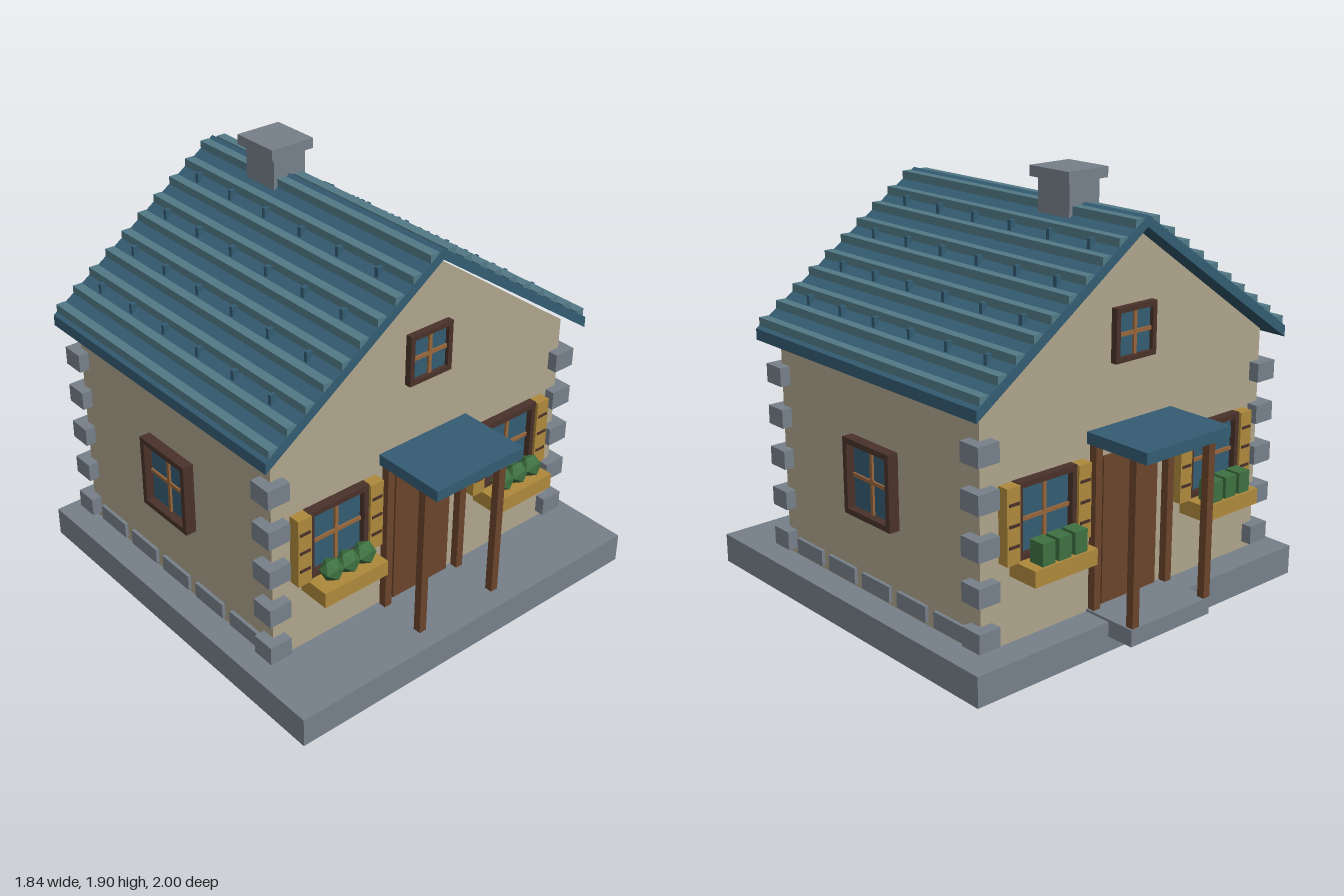
import * as THREE from 'three';

const mat = (name, color) => Object.assign(new THREE.MeshStandardMaterial({ color }), { name });
const M = {
  stone: mat('stone grey', 0x77818b),
  wall: mat('plaster beige', 0xb0a68e),
  roof: mat('roof blue', 0x355d74),
  batten: mat('batten teal', 0x527b87),
  wood: mat('door brown', 0x6b452b),
  frame: mat('dark frame brown', 0x4a322a),
  bar: mat('window bar brown', 0x99673c),
  ochre: mat('ochre paint', 0xb08a3c),
  green: mat('leaf green', 0x3f7242),
};

// Box given by its min and max on each axis
function box(parent, name, material, [x0, x1], [y0, y1], [z0, z1]) {
  const m = new THREE.Mesh(new THREE.BoxGeometry(x1 - x0, y1 - y0, z1 - z0), material);
  m.position.set((x0 + x1) / 2, (y0 + y1) / 2, (z0 + z1) / 2);
  m.name = name;
  parent.add(m);
  return m;
}

function extrude(parent, name, material, points, z0, z1) {
  const shape = new THREE.Shape(points.map(([x, y]) => new THREE.Vector2(x, y)));
  const g = new THREE.ExtrudeGeometry(shape, { depth: z1 - z0, bevelEnabled: false });
  g.translate(0, 0, z0);
  const m = new THREE.Mesh(g, material);
  m.name = name;
  parent.add(m);
}

// Window facing +z, centred on its own origin, standing out from z = 0
function makeWindow(name, w, h, border, depth) {
  const g = new THREE.Group();
  g.name = name;
  const x = w / 2, y = h / 2, ix = x - border, iy = y - border;
  for (const s of [-1, 1]) {
    box(g, 'frameSide', M.frame, [s * (x - border / 2) - border / 2, s * (x - border / 2) + border / 2], [-y, y], [-0.01, depth]);
    box(g, 'frameRail', M.frame, [-ix, ix], [s * (y - border / 2) - border / 2, s * (y - border / 2) + border / 2], [-0.01, depth]);
  }
  box(g, 'glass', M.roof, [-ix, ix], [-iy, iy], [0.004, 0.012]);
  box(g, 'uprightBar', M.bar, [-0.008, 0.008], [-iy, iy], [0.005, 0.022]);
  box(g, 'crossBar', M.bar, [-ix, ix], [-0.008, 0.008], [0.005, 0.021]);
  return g;
}

// Window with shutters, planter and plants
function makeShutteredWindow(roundPlants) {
  const g = new THREE.Group();
  g.name = 'shutteredWindow';
  const win = makeWindow('window', 0.31, 0.325, 0.025, 0.04);
  win.position.y = 0.65;
  g.add(win);
  for (const s of [-1, 1]) {
    const cx = s * 0.187;
    box(g, 'shutter', M.ochre, [cx - 0.034, cx + 0.034], [0.49, 0.81], [0, 0.052]);
    for (const y of [0.565, 0.652, 0.74])
      box(g, 'shutterSlat', M.frame, [cx - 0.026, cx + 0.026], [y - 0.006, y + 0.006], [0.049, 0.056]);
  }
  box(g, 'planter', M.ochre, [-0.165, 0.165], [0.42, 0.49], [0, 0.15]);
  for (const i of [-1, 0, 1]) {
    if (roundPlants) {
      const geo = new THREE.IcosahedronGeometry(0.052, 0).toNonIndexed();
      geo.computeVertexNormals();
      const p = new THREE.Mesh(geo, M.green);
      p.name = 'bush';
      p.position.set(i * 0.085, 0.54, 0.092);
      g.add(p);
    } else {
      box(g, 'bush', M.green, [i * 0.085 - 0.033, i * 0.085 + 0.033], [0.48, 0.585], [0.065, 0.14]);
    }
  }
  return g;
}

// One end of the house: door, porch and windows, built facing +z
function makeFacade(name, lift, roofDepth, postZ, roundPlants) {
  const g = new THREE.Group();
  g.name = name;
  box(g, 'door', M.wood, [-0.157, 0.157], [0.13 + lift, 0.775 + lift], [0, 0.015]);
  for (const s of [-1, 1]) {
    const x = s * 0.21;
    for (const z of [0.025, postZ])
      box(g, 'porchPost', M.wood, [x - 0.018, x + 0.018], [0.13 + lift, 0.85 + lift], [z - 0.018, z + 0.018]);
    const win = makeShutteredWindow(roundPlants);
    win.position.x = s * 0.482;
    g.add(win);
  }
  box(g, 'porchRoof', M.roof, [-0.24, 0.24], [0.848 + lift, 0.898 + lift], [0, roofDepth]);
  const attic = makeWindow('atticWindow', 0.226, 0.226, 0.022, 0.03);
  attic.position.y = 1.288;
  g.add(attic);
  return g;
}

export function createModel() {
  const house = new THREE.Group();
  house.name = 'cottage';
  const FRONT = 0.655, BACK = -0.67, SIDE = 0.795;

  // Base, back step and walls
  box(house, 'base', M.stone, [-0.92, 0.92], [0, 0.134], [-0.8, 1]);
  box(house, 'backStep', M.stone, [-0.23, 0.23], [0.07, 0.145], [-0.93, BACK]);
  extrude(house, 'walls', M.wall, [[-SIDE, 0.13], [SIDE, 0.13], [SIDE, 1.15], [0, 1.71], [-SIDE, 1.15]], BACK, FRONT);

  // Front and back facades
  const front = makeFacade('frontFacade', 0, 0.335, 0.24, true);
  front.position.z = FRONT;
  const back = makeFacade('backFacade', 0.02, 0.33, 0.245, false);
  back.position.z = BACK;
  back.rotation.y = Math.PI;
  house.add(front, back);

  for (const s of [-1, 1]) {
    // Side windows
    const win = makeWindow('sideWindow', 0.31, 0.335, 0.025, 0.05);
    win.position.set(s * SIDE, 0.657, -0.01);
    win.rotation.y = s * Math.PI / 2;
    house.add(win);

    // Corner stones
    for (const z of [FRONT - 0.007, BACK + 0.003])
      for (let i = 0; i < 5; i++) {
        const y = 0.208 + i * 0.19;
        box(house, 'cornerStone', M.stone, [s * 0.79 - 0.053, s * 0.79 + 0.053], [y - 0.042, y + 0.042], [z - 0.053, z + 0.053]);
      }

    // Footing stones along the side walls
    for (let i = -2; i <= 2; i++) {
      const z = -0.007 + i * 0.242;
      box(house, 'footingStone', M.stone, [s * 0.797 - 0.014, s * 0.797 + 0.014], [0.15, 0.222], [z - 0.095, z + 0.095]);
    }
  }

  // Roof slab
  const Z0 = -0.747, Z1 = 0.727, slope = 0.69, ridge = 1.765;
  extrude(house, 'roof', M.roof,
    [[0, 1.718], [0.87, 1.115], [0.87, ridge - slope * 0.87], [0, ridge], [-0.87, ridge - slope * 0.87], [-0.87, 1.115]], Z0, Z1);

  // Stepped battens and small roof hooks
  for (const s of [-1, 1]) {
    for (let i = 0; i < 10; i++) {
      const x = 0.044 + i * 0.0875, top = ridge - slope * (x - 0.022) + 0.006;
      box(house, 'roofBatten', M.batten, [s * x - 0.022, s * x + 0.022], [top - 0.042, top], [Z0 + 0.002, Z1 - 0.002]);
    }
    for (let i = 1; i <= 4; i++) {
      const x = i * 0.175, y = ridge - slope * x;
      for (let j = 0; j < 6; j++) {
        const z = 0.555 - j * 0.233;
        box(house, 'roofHook', M.roof, [s * x - 0.013, s * x + 0.013], [y - 0.012, y + 0.035], [z - 0.009, z + 0.009]);
      }
    }
  }

  // Chimney
  box(house, 'chimneyShaft', M.stone, [-0.083, 0.083], [1.62, 1.86], [-0.39, -0.203]);
  box(house, 'chimneyCap', M.stone, [-0.109, 0.109], [1.855, 1.9], [-0.413, -0.18]);
  return house;
}
